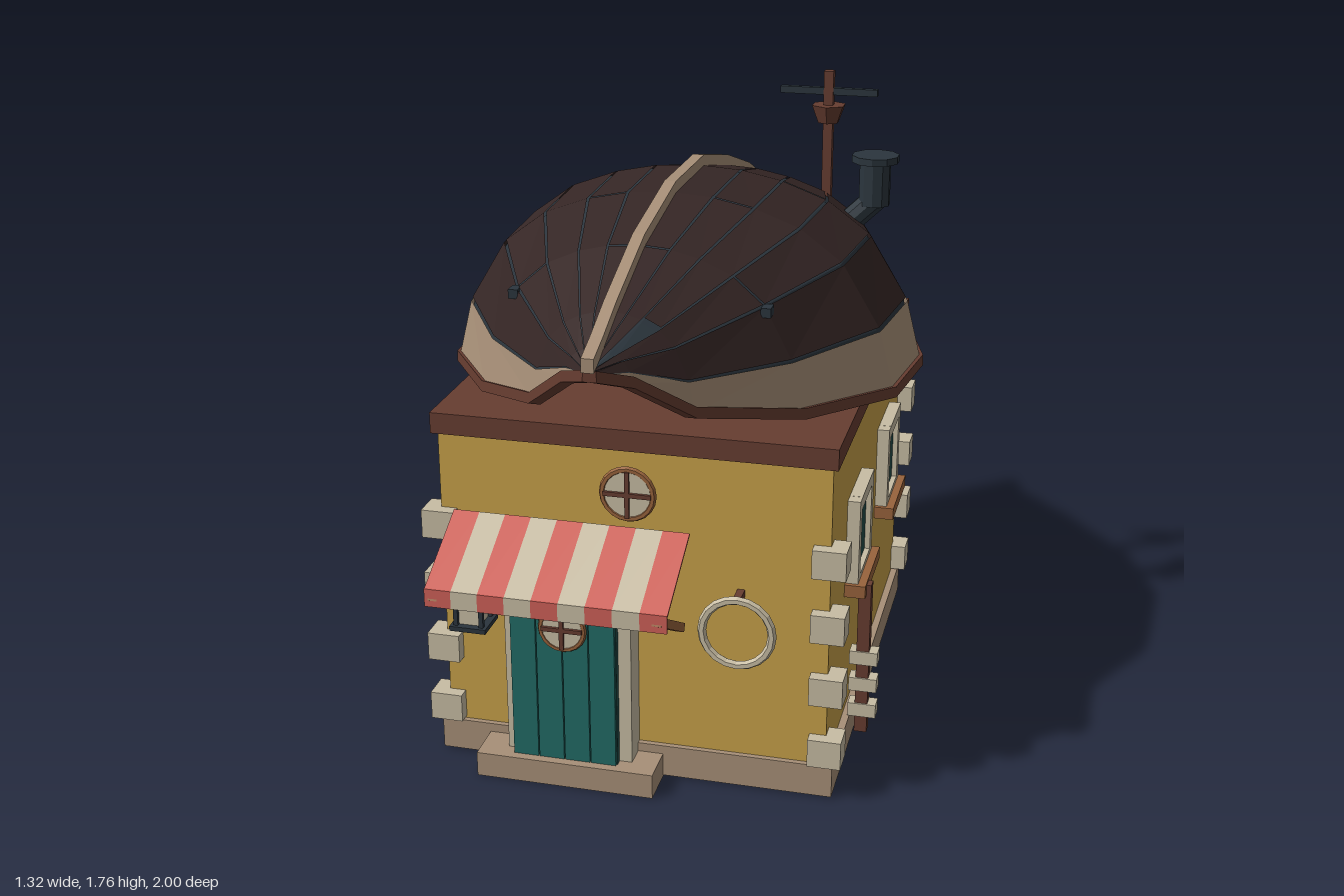
import * as THREE from 'three';

const mat = (name, color, side = THREE.FrontSide) =>
  new THREE.MeshStandardMaterial({ name, color, side, flatShading: true });

const M = {
  wall: mat('mustard wall', 0xc8a24a),
  cream: mat('cream stone', 0xc8bda4),
  tan: mat('tan', 0xa89078, THREE.DoubleSide),
  hull: mat('dark hull', 0x352625, THREE.DoubleSide),
  slate: mat('slate metal', 0x2b353d, THREE.DoubleSide),
  brown: mat('brown timber', 0x673d31, THREE.DoubleSide),
  wood: mat('light wood', 0x98633c),
  teal: mat('teal paint', 0x226b66),
  glass: mat('dark glass', 0x234b48),
  red: mat('awning red', 0xcf6158),
};

// Hull stations: z, half width, gunwale height, ridge height
const STATIONS = [
  [0.985, 0.01, 1.27, 1.292], [0.92, 0.085, 1.24, 1.322], [0.8, 0.21, 1.13, 1.375],
  [0.54, 0.43, 1.05, 1.47], [0.22, 0.62, 1.012, 1.53], [-0.1, 0.652, 0.998, 1.53],
  [-0.41, 0.55, 1.028, 1.46], [-0.72, 0.3, 1.083, 1.365], [-0.93, 0.075, 1.168, 1.277],
  [-0.985, 0.01, 1.23, 1.255],
];
// Half cross-section from ridge to gunwale, as fractions of width and height
const PROFILE = [[0, 1], [0.19, 0.985], [0.37, 0.94], [0.57, 0.85], [0.76, 0.68], [0.93, 0.34], [1, 0]];
const lerp = THREE.MathUtils.lerp;

function station(z) {
  let i = 0;
  while (i < STATIONS.length - 2 && z < STATIONS[i + 1][0]) i++;
  const a = STATIONS[i], b = STATIONS[i + 1];
  const t = (z - a[0]) / (b[0] - a[0]);
  return a.map((v, j) => lerp(v, b[j], t));
}

function hullPoint(z, k, side, inset = 0) {
  const [, w, low, high] = station(z);
  const i = Math.min(Math.floor(k), PROFILE.length - 2), t = k - i;
  const u = lerp(PROFILE[i][0], PROFILE[i + 1][0], t);
  const v = lerp(PROFILE[i][1], PROFILE[i + 1][1], t);
  return [side * u * w * (1 - inset), low + (high - low) * v - inset * 0.5 * v, z];
}

// Station positions between two ends
const spans = (z0, z1) =>
  [z0, ...STATIONS.map((s) => s[0]).filter((z) => z < z0 - 0.001 && z > z1 + 0.001), z1];

// Skin a list of cross-sections
function loft(sections, closed = false) {
  const n = sections[0].length, pos = sections.flat(2), idx = [];
  for (let r = 0; r < sections.length - 1; r++)
    for (let c = 0; c < (closed ? n : n - 1); c++) {
      const a = r * n + c, b = r * n + ((c + 1) % n);
      idx.push(a, a + n, b, b, a + n, b + n);
    }
  if (closed && n === 4) {
    const e = (sections.length - 1) * n;
    idx.push(0, 1, 2, 0, 2, 3, e, e + 2, e + 1, e, e + 3, e + 2);
  }
  const g = new THREE.BufferGeometry();
  g.setAttribute('position', new THREE.Float32BufferAttribute(pos, 3));
  g.setIndex(idx);
  const flat = g.toNonIndexed();
  flat.computeVertexNormals();
  return flat;
}

export function createModel() {
  const root = new THREE.Group();
  root.name = 'boatRoofHouse';

  const add = (name, geo, material, x = 0, y = 0, z = 0) => {
    const m = new THREE.Mesh(geo, material);
    m.name = name;
    m.position.set(x, y, z);
    root.add(m);
    return m;
  };
  // Box given by its extents
  const box = (name, material, x0, x1, y0, y1, z0, z1) =>
    add(name, new THREE.BoxGeometry(x1 - x0, y1 - y0, z1 - z0), material,
      (x0 + x1) / 2, (y0 + y1) / 2, (z0 + z1) / 2);
  const cyl = (name, material, rTop, rBottom, h, sides, x, y, z) =>
    add(name, new THREE.CylinderGeometry(rTop, rBottom, h, sides), material, x, y, z);

  // House body
  box('walls', M.wall, -0.53, 0.53, 0, 0.96, -0.625, 0.635);
  box('plinth', M.tan, -0.55, 0.55, 0.004, 0.095, -0.64, 0.65);
  box('doorStep', M.tan, -0.41, 0.085, 0, 0.07, 0.64, 0.765);
  box('eavesSlab', M.brown, -0.545, 0.545, 0.95, 1.008, -0.65, 0.65);
  for (const sx of [-1, 1])
    for (const z of [-0.625, 0.63])
      for (let i = 0; i < 4; i++)
        add('cornerStone', new THREE.BoxGeometry(0.09, 0.08, 0.08), M.cream, sx * 0.53, 0.142 + i * 0.184, z);

  // Side windows
  for (const s of [-1, 1])
    for (const z of [0.265, -0.272]) {
      const part = (name, m, y, h, d, out) =>
        add(name, new THREE.BoxGeometry(out, h, d), m, s * (0.525 + out / 2), y, z);
      for (const e of [-1, 1])
        add('windowJamb', new THREE.BoxGeometry(0.04, 0.245, 0.036), M.cream, s * 0.545, 0.632, z + e * 0.102);
      part('windowHead', M.cream, 0.737, 0.036, 0.168, 0.04);
      part('windowFoot', M.cream, 0.518, 0.016, 0.168, 0.04);
      part('windowPane', M.glass, 0.622, 0.194, 0.168, 0.025);
      part('windowSill', M.wood, 0.494, 0.036, 0.265, 0.062);
    }

  // Door
  box('doorFrame', M.cream, -0.335, -0.31, 0.07, 0.69, 0.63, 0.712);
  box('doorFrame', M.cream, -0.02, 0.015, 0.07, 0.69, 0.63, 0.712);
  box('doorLintel', M.cream, -0.335, 0.015, 0.665, 0.7, 0.63, 0.712);
  box('doorBack', M.glass, -0.31, -0.02, 0.07, 0.665, 0.63, 0.732);
  for (let i = 0; i < 4; i++) {
    const x = -0.309 + i * 0.0725;
    box('doorPlank', M.teal, x, x + 0.0695, 0.072, 0.665, 0.64, 0.743);
  }

  // Round windows with cross bars
  const porthole = (x, y, z, r) => {
    const disc = cyl('portholePane', M.cream, r * 0.88, r * 0.88, 0.02, 20, x, y, z);
    disc.rotation.x = Math.PI / 2;
    add('portholeRing', new THREE.TorusGeometry(r * 0.9, r * 0.12, 6, 20), M.wood, x, y, z + 0.005);
    box('portholeBar', M.brown, x - r * 0.85, x + r * 0.85, y - 0.006, y + 0.006, z, z + 0.018);
    box('portholeBar', M.brown, x - 0.006, x + 0.006, y - r * 0.85, y + r * 0.85, z, z + 0.018);
  };
  porthole(0, 0.84, 0.665, 0.076);
  porthole(-0.16, 0.472, 0.748, 0.066);

  // Life ring
  add('lifeRing', new THREE.TorusGeometry(0.094, 0.012, 6, 20), M.cream, 0.295, 0.483, 0.685);
  box('lifeRingPeg', M.brown, 0.285, 0.305, 0.565, 0.585, 0.63, 0.685);

  // Striped awning with valance and struts
  const drop = 0.125, reach = 0.235, sw = 0.645 / 9;
  for (let i = 0; i < 9; i++) {
    const m = i % 2 ? M.cream : M.red, x = -0.48 + (i + 0.5) * sw;
    const p = add('awningStripe', new THREE.BoxGeometry(sw, 0.006, Math.hypot(drop, reach)), m, x, 0.682, 0.787);
    p.rotation.x = Math.atan2(drop, reach);
    add('awningValance', new THREE.BoxGeometry(sw, 0.05, 0.006), m, x, 0.6, 0.903);
  }
  for (const x of [-0.458, 0.138]) {
    const s = add('awningStrut', new THREE.BoxGeometry(0.025, 0.024, 0.27), M.wood, x, 0.538, 0.785);
    s.rotation.x = -Math.atan2(0.13, 0.23);
  }

  // Lantern
  box('lanternBase', M.slate, -0.45, -0.35, 0.465, 0.478, 0.72, 0.82);
  box('lanternCap', M.slate, -0.45, -0.35, 0.575, 0.59, 0.72, 0.82);
  box('lanternGlass', M.cream, -0.43, -0.37, 0.478, 0.575, 0.74, 0.8);
  box('lanternArm', M.slate, -0.41, -0.39, 0.59, 0.605, 0.63, 0.78);
  for (const x of [-0.435, -0.365])
    for (const z of [0.735, 0.805]) box('lanternPost', M.slate, x - 0.006, x + 0.006, 0.478, 0.575, z - 0.006, z + 0.006);

  // Mooring post with wrapped blocks
  box('mooringPost', M.brown, 0.565, 0.6, 0.05, 0.505, 0.337, 0.371);
  for (const y of [0.12, 0.2, 0.282])
    box('ropeWrap', M.cream, 0.546, 0.624, y - 0.02, y + 0.02, 0.332, 0.376);

  // Upturned boat: inner shell
  const all = spans(0.985, -0.985);
  const ks = [0, 1, 2, 3, 4, 5, 6];
  add('hullShell', loft(all.map((z) => [
    ...ks.slice(1).reverse().map((k) => hullPoint(z, k, -1, 0.016)),
    ...ks.map((k) => hullPoint(z, k, 1, 0.016)),
  ])), M.slate);

  // Strakes, split at butt joints; one strake is broken short on the left
  const joints = [[0.54, -0.41], [0.22], [-0.1], [0.54], [-0.1], [-0.41]];
  for (const s of [-1, 1])
    joints.forEach((js, k) => {
      const short = s > 0 && k === 2;
      const ends = [short ? 0.79 : 0.985, ...js, short ? -0.74 : -0.985];
      for (let i = 0; i < ends.length - 1; i++) {
        const zs = spans(ends[i] - (i ? 0.004 : 0), ends[i + 1] + 0.002);
        add(k === 5 ? 'topStrake' : 'hullStrake',
          loft(zs.map((z) => [hullPoint(z, k + 0.03, s), hullPoint(z, k + 0.97, s)])), k === 5 ? M.tan : M.hull);
      }
    });

  // Gunwale rails and keel
  for (const s of [-1, 1])
    add('gunwale', loft(all.map((z) => {
      const [, w, y] = station(z);
      const inner = Math.max(w - 0.024, 0);
      return [[s * inner, y - 0.012, z], [s * (w + 0.008), y - 0.012, z],
        [s * (w + 0.006), y + 0.018, z], [s * inner, y + 0.018, z]];
    }), true), M.brown);
  add('keel', loft(all.map((z) => {
    const y = station(z)[3], e = Math.abs(z) > 0.98 ? Math.sign(z) : z;
    return [[-0.016, y - 0.006, e], [0.016, y - 0.006, e], [0.016, y + 0.03, e], [-0.016, y + 0.03, e]];
  }), true), M.tan);

  // Hull bolts
  for (const [x, z, k] of [[-1, -0.41, 3.9], [-1, 0.54, 4.1], [1, 0.54, 4.1]]) {
    const p = hullPoint(z, k, x);
    add('hullBolt', new THREE.BoxGeometry(0.026, 0.025, 0.04), M.slate, ...p);
  }

  // Mast with crow's nest and yard
  box('mast', M.brown, 0.304, 0.332, 1.34, 1.757, -0.414, -0.386);
  cyl('crowsNest', M.brown, 0.052, 0.032, 0.052, 6, 0.318, 1.632, -0.4);
  box('yard', M.slate, 0.176, 0.46, 1.688, 1.708, -0.41, -0.39);

  // Bent chimney pipe
  const bend = cyl('chimneyElbow', M.slate, 0.036, 0.036, 0.15, 10, 0.435, 1.375, -0.25);
  bend.rotation.z = -0.8;
  cyl('chimneyPipe', M.slate, 0.045, 0.045, 0.125, 10, 0.482, 1.47, -0.25);
  cyl('chimneyCap', M.slate, 0.068, 0.068, 0.02, 10, 0.482, 1.542, -0.25);
  return root;
}
